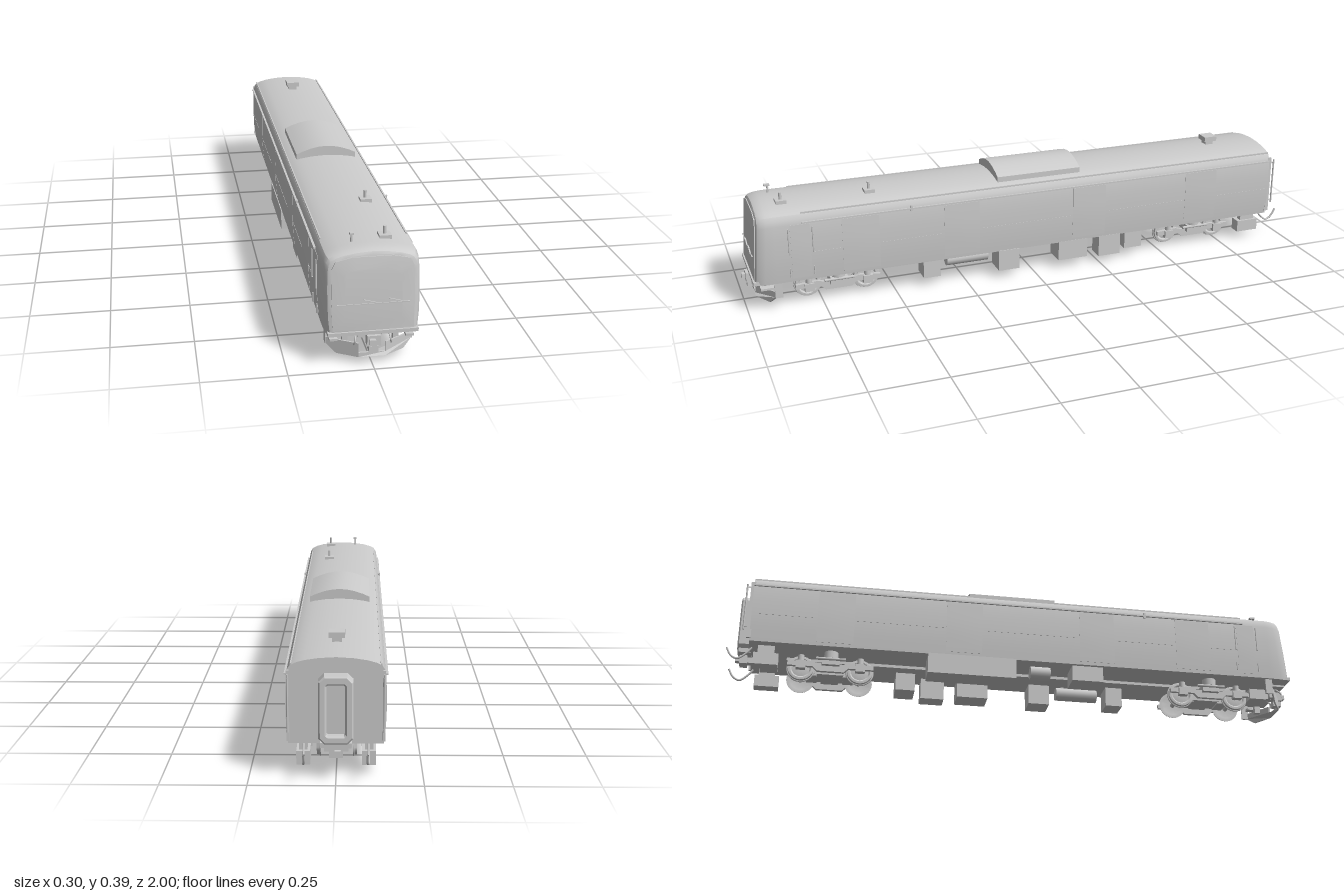
import * as THREE from 'three';
import { toCreasedNormals } from 'three/addons/utils/BufferGeometryUtils.js';

const mat = new THREE.MeshStandardMaterial({ color: 0xcccccc });
const thin = new THREE.MeshStandardMaterial({ color: 0xcccccc, side: THREE.DoubleSide });

// Half of the car section, from the sill up to the roof ridge
const HALF = [[.137, .1], [.142, .15], [.144, .2], [.144, .25], [.142, .30], [.139, .318], [.131, .331],
  [.115, .339], [.09, .346], [.05, .352], [0, .355]];
const SECTION = [...HALF, ...HALF.slice(0, -1).reverse().map(([x, y]) => [-x, y])];

// Skin a list of equal-length rings (counterclockwise seen from +z), rear to front
function loft(rings, crease = 0.6) {
  const n = rings[0].length, pos = [], idx = [];
  rings.forEach(r => r.forEach(p => pos.push(...p)));
  for (let i = 0; i < rings.length - 1; i++) for (let j = 0; j < n; j++) {
    const a = i * n + j, b = i * n + (j + 1) % n;
    idx.push(a, b, b + n, a, b + n, a + n);
  }
  const last = (rings.length - 1) * n;
  const faces = THREE.ShapeUtils.triangulateShape(rings[0].map(p => new THREE.Vector2(p[0], p[1])), []);
  for (const [a, b, c] of faces) idx.push(a, c, b, last + a, last + b, last + c);
  const g = new THREE.BufferGeometry();
  g.setAttribute('position', new THREE.Float32BufferAttribute(pos, 3));
  g.setIndex(idx);
  return toCreasedNormals(g, crease);
}

export function createModel() {
  const root = new THREE.Group();
  const add = (name, geo, x = 0, y = 0, z = 0, parent = root, material = mat) => {
    const m = new THREE.Mesh(geo, material);
    m.name = name;
    m.position.set(x, y, z);
    parent.add(m);
    return m;
  };
  // Box given by its limits on each axis
  const box = (name, x0, x1, y0, y1, z0, z1, parent = root) =>
    add(name, new THREE.BoxGeometry(x1 - x0, y1 - y0, z1 - z0), (x0 + x1) / 2, (y0 + y1) / 2, (z0 + z1) / 2, parent);
  const rod = (name, r, len, axis, x, y, z, parent = root, sides = 16) => {
    const m = add(name, new THREE.CylinderGeometry(r, r, len, sides), x, y, z, parent);
    if (axis === 'x') m.rotation.z = Math.PI / 2;
    if (axis === 'z') m.rotation.x = Math.PI / 2;
    return m;
  };
  const tube = (name, pts, r) => add(name, new THREE.TubeGeometry(
    new THREE.CatmullRomCurve3(pts.map(p => new THREE.Vector3(...p))), 16, r, 6), 0, 0, 0, root, thin);
  const outline = pts => new THREE.Shape(pts.map(p => new THREE.Vector2(...p)));
  // Body side x at height y
  const sideX = y => {
    const i = Math.max(1, HALF.findIndex(p => p[1] >= y)), [a, b] = [HALF[i - 1], HALF[i]];
    return a[0] + (b[0] - a[0]) * (y - a[1]) / (b[1] - a[1]);
  };

  // Car body: straight tube with a leaning, round-edged front
  const stations = [[-.925, 0], [.9, 0], [.935, .002], [.953, .006], [.963, .013], [.967, .022]];
  add('body', loft(stations.map(([z, inset], i) => SECTION.map(([x, y]) => {
    const top = Math.max(0, (y - .1) / .255);
    return [x * (1 - inset / .144), y - inset * top * .7, z + (i > 1 ? .006 - .02 * top : 0)];
  })), 0.5));
  // Gently bulging front panel
  const panel = [[.118, .115], [.121, .2], [.119, .3], [.108, .322], [.06, .333]];
  const panelRing = [...panel, ...panel.slice().reverse().map(([x, y]) => [-x, y])];
  add('frontPanel', loft([[1, .95], [1, .975], [.7, .979]].map(([s, z]) =>
    panelRing.map(([x, y]) => [x * s, .22 + (y - .22) * s, z - .02 * (.22 + (y - .22) * s - .1) / .255])), 0.5));
  box('frontSill', -.132, .132, .1, .111, .94, .978);

  // Wipers and their rail
  box('wiperRail', -.105, .105, .193, .196, .965, .974);
  for (const x of [-.01, .065]) {
    const w = box('wiper', -.021, .021, -.001, .001, -.002, .002);
    w.position.set(x, .203, .974);
    w.rotation.z = -.28;
  }

  // Side fittings, same on both sides
  for (const s of [1, -1]) {
    const plate = (name, y0, y1, z0, z1, out) => {
      const rings = [z0, z1].map(z => {
        const ys = [y0, y0 + (y1 - y0) / 3, y0 + (y1 - y0) * 2 / 3, y1];
        const outer = ys.map(y => [s * (sideX(y) + out), y, z]);
        const inner = ys.map(y => [s * (sideX(y) - .004), y, z]).reverse();
        const r = [...outer, ...inner];
        return s > 0 ? r : r.reverse();
      });
      add(name, loft(rings, .4));
    };
    for (const z of [.555, .205, -.265, -.705]) plate('slidingDoor', .112, .3, z, z + .125, .0012);
    plate('cabDoor', .112, .3, .785, .85, .0012);
    for (const [a, b] of [[.335, .55], [-.135, .2], [-.575, -.27], [-.915, -.71], [.685, .78]])
      plate('beltLine', .198, .2, a, b, .001);
    for (const z of [.778, .857]) {
      rod('handrail', .0022, .09, 'y', s * .148, .245, z, root, 8);
      rod('lowerHandrail', .0022, .03, 'y', s * .145, .135, z, root, 8);
    }
    box('gutter', s * .1435 - .004, s * .1435 + .004, .303, .308, -.925, .81);
    box('roofRail', s * .128 - .002, s * .128 + .002, .330, .337, -.925, .81);
    box('markerLight', s * .145 - .003, s * .145 + .003, .297, .317, .44, .448);
    // Rear corner grab rails
    box('rearCornerPost', s * .137 - .004, s * .137 + .004, .11, .318, -.935, -.92);
    rod('rearGrabRail', .003, .17, 'y', s * .137, .225, -.947, root, 8);
    for (const y of [.15, .3]) rod('railBracket', .002, .02, 'z', s * .137, y, -.94, root, 8);
  }

  // Rear gangway: chamfered frame with a door set back in it
  const gate = (w, y0, y1, c) => [[-w + c, y0], [w - c, y0], [w, y0 + c], [w, y1 - c], [w - c, y1],
    [-w + c, y1], [-w, y1 - c], [-w, y0 + c]];
  const frame = outline(gate(.045, .115, .305, .014));
  frame.holes.push(outline(gate(.031, .13, .288, .006)));
  add('gangwayFrame', new THREE.ExtrudeGeometry(frame, { depth: .035, bevelEnabled: true, bevelThickness: .005,
    bevelSize: .005, bevelSegments: 1 }), 0, 0, -.963);
  box('gangwayDoor', -.036, .036, .125, .293, -.945, -.92);
  box('gangwayStep', -.045, .045, .098, .113, -.962, -.92);

  // Roof equipment
  const unit = [[.102, .335], [.102, .361], [.08, .371], [.05, .381], [.025, .386], [0, .388]];
  const unitRing = [...unit, ...unit.slice(0, -1).reverse().map(([x, y]) => [-x, y])];
  add('airConditioner', loft([-.18, .125].map(z => unitRing.map(([x, y]) => [x, y, z])), .5));
  box('ventBase', -.015, .015, .35, .37, -.755, -.725);
  box('ventCap', -.024, .024, .368, .385, -.764, -.716);
  for (const z of [.565, .86]) {
    box('antennaPlate', .034, .07, .345, .361, z - .018, z + .018);
    rod('antenna', .005, .03, 'y', .052, .37, z, root, 10);
  }
  rod('whistleStem', .003, .034, 'y', -.05, .364, .885, root, 8);
  box('whistle', -.056, -.044, .376, .382, .878, .897);

  // Underfloor boxes and tanks
  for (const b of [[.045, .115, .03, .34, .4], [.065, .14, .027, .06, .135], [.06, .138, .032, -.2, -.09],
    [.08, .138, .025, -.328, -.245], [.04, .125, .035, -.42, -.352], [-.14, -.06, .03, -.325, -.02],
    [-.125, -.045, .045, .18, .29]])
    box('equipmentBox', b[0], b[1], b[2], .102, b[3], b[4]);
  rod('airTank', .023, .15, 'z', .075, .073, .235);
  rod('smallAirTank', .023, .07, 'z', -.095, .073, .07);
  for (const z of [.185, .285]) box('tankStrap', .071, .079, .09, .102, z - .005, z + .005);
  box('centreBeam', -.02, .02, .09, .102, -.8, .85);

  // Bogies
  const wheelProfile = [[.008, -.006], [.03, -.004], [.035, -.006], [.048, -.006], [.047, -.003], [.044, -.002],
    [.043, .006], [.035, .006], [.03, .002], [.008, .006]].map(p => new THREE.Vector2(...p));
  const wheelGeo = toCreasedNormals(new THREE.LatheGeometry([...wheelProfile, wheelProfile[0].clone()], 28), .5);
  const sideFrame = new THREE.ExtrudeGeometry(outline([[-.145, .045], [-.06, .045], [-.045, .03], [.045, .03],
    [.06, .045], [.145, .045], [.145, .06], [.07, .066], [.045, .058], [-.045, .058], [-.07, .066], [-.145, .06]]),
  { depth: .012, bevelEnabled: false });
  for (const bz of [.69, -.65]) {
    const bogie = new THREE.Group();
    bogie.name = 'bogie';
    bogie.position.z = bz;
    root.add(bogie);
    box('bolster', -.1, .1, .05, .075, -.03, .03, bogie);
    box('bogieCentre', -.035, .035, .04, .07, -.06, .06, bogie);
    rod('pivot', .025, .04, 'y', 0, .085, 0, bogie);
    for (const z of [-.1, .1]) {
      rod('axle', .008, .17, 'x', 0, .047, z, bogie, 12);
      box('tractionMotor', -.032, .032, .035, .068, z * .62 - .018, z * .62 + .018, bogie);
      for (const s of [1, -1]) {
        const w = add('wheel', wheelGeo, s * .054, .048, z, bogie, thin);
        w.rotation.z = -s * Math.PI / 2;
        box('axleBox', s * .084 - .01, s * .084 + .01, .034, .062, z - .016, z + .016, bogie);
        rod('axleSpring', .011, .025, 'y', s * .08, .072, z, bogie, 10);
      }
    }
    for (const s of [1, -1]) {
      const f = add('bogieSideFrame', sideFrame, s * .08 - .006, 0, 0, bogie);
      f.rotation.y = Math.PI / 2;
      rod('airSpring', .024, .028, 'y', s * .08, .088, 0, bogie);
      rod('damper', .005, .1, 'z', s * .1, .07, 0, bogie, 8);
    }
  }

  // Front obstacle guard: swept-back plate with a notch for the coupler
  const guard = new THREE.ExtrudeGeometry(outline([[-.128, .048], [-.1, .022], [-.04, .022], [.04, .022],
    [.1, .022], [.128, .048], [.128, .068], [.1, .066], [.04, .066], [.04, .036], [-.04, .036], [-.04, .066],
    [-.1, .066], [-.128, .068]]), { depth: .006, bevelEnabled: false });
  const gp = guard.attributes.position;
  for (let i = 0; i < gp.count; i++)
    gp.setZ(i, gp.getZ(i) - Math.max(0, Math.abs(gp.getX(i)) - .04) * .6);
  guard.computeVertexNormals();
  add('obstacleGuard', guard, 0, 0, .957, root, thin);
  for (const s of [1, -1]) {
    box('guardSide', s * .126 - .003, s * .126 + .003, .045, .1, .885, .91);
    box('guardBracket', s * .075 - .008, s * .075 + .008, .05, .102, .915, .935);
    box('frontStep', s * .112 - .012, s * .112 + .012, .075, .082, .9, .955);
    // Equipment behind both ends
    box('rearStepBox', s * .095 - .02, s * .095 + .02, .028, .07, -.908, -.825);
    box('rearStepHanger', s * .095 - .012, s * .095 + .012, .07, .102, -.895, -.84);
    tube('rearHose', [[s * .093, .095, -.915], [s * .093, .07, -.935], [s * .093, .052, -.96],
      [s * .09, .062, -.982], [s * .09, .09, -.998]], .0035);
    tube('frontHose', [[s * .05, .1, .945], [s * .052, .08, .972], [s * .055, .066, .968]], .003);
  }

  // Couplers
  for (const [s, z] of [[1, .89], [-1, -.86]]) {
    box('couplerPocket', -.035, .035, .062, .102, z - .03, z + .03);
    box('couplerShank', -.012, .012, .074, .094, Math.min(z, z + s * .09), Math.max(z, z + s * .09));
    box('couplerHead', -.02, .02, .068, .1, z + s * .085 - .013, z + s * .085 + .013);
    box('couplerKnuckle', -.014, .004, .076, .092, z + s * .104 - .008, z + s * .104 + .006);
  }
  box('electricCoupler', -.014, .014, .048, .066, .955, .985);
  return root;
}
